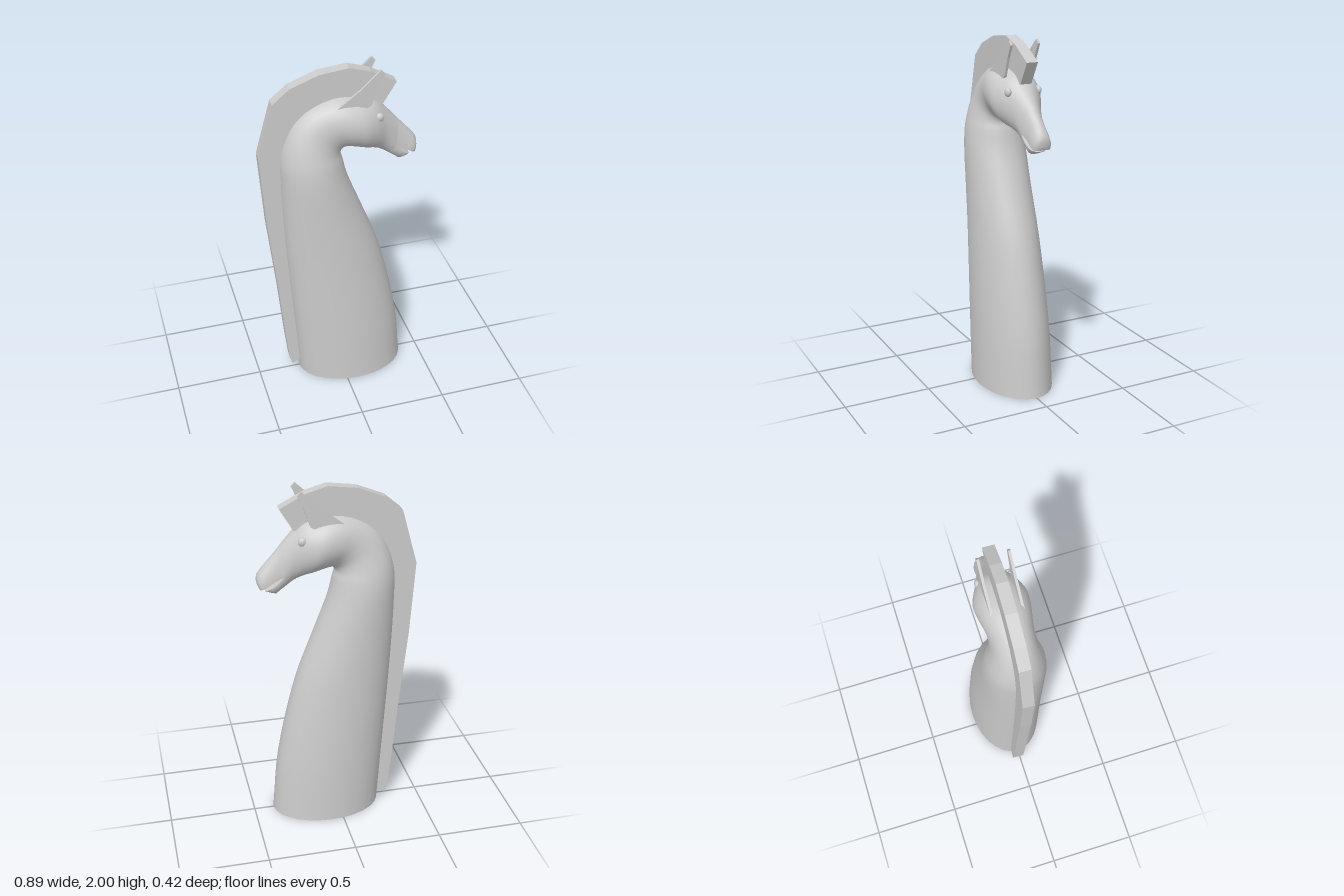
import * as THREE from 'three';

const SIDES = 28;
const grey = new THREE.MeshStandardMaterial({ color: 0xcccccc });
const greyOpen = new THREE.MeshStandardMaterial({ color: 0xcccccc, side: THREE.DoubleSide });

// Cross-section: [topX, topY, midX, midY, underX, underY, halfWidth]
const mid = (tx, ty, ux, uy, w) => [tx, ty, (tx + ux) / 2, (ty + uy) / 2, ux, uy, w];

// Skin a row of egg-shaped cross-sections; optionally close the last one
function loft(sections, cap) {
  const pos = [], idx = [];
  for (const [tx, ty, mx, my, ux, uy, w] of sections) {
    for (let j = 0; j < SIDES; j++) {
      const a = (j / SIDES) * Math.PI * 2, c = Math.cos(a), k = Math.abs(c);
      const ex = c > 0 ? tx : ux, ey = c > 0 ? ty : uy;
      pos.push(mx + (ex - mx) * k, my + (ey - my) * k, w * Math.sin(a));
    }
  }
  for (let i = 0; i < sections.length - 1; i++) {
    for (let j = 0; j < SIDES; j++) {
      const a = i * SIDES + j, b = i * SIDES + (j + 1) % SIDES;
      idx.push(a, b, a + SIDES, b, b + SIDES, a + SIDES);
    }
  }
  if (cap) {
    const [tx, ty, , , ux, uy] = sections.at(-1), start = (sections.length - 1) * SIDES;
    pos.push((tx + ux) / 2, (ty + uy) / 2, 0);
    for (let j = 0; j < SIDES; j++) idx.push(start + j, start + (j + 1) % SIDES, start + SIDES);
  }
  const geo = new THREE.BufferGeometry();
  geo.setAttribute('position', new THREE.Float32BufferAttribute(pos, 3));
  geo.setIndex(idx);
  geo.computeVertexNormals();
  return geo;
}

// Smooth a row of cross-sections with splines
function refine(sections, steps) {
  const curve = (a, b, c) => new THREE.CatmullRomCurve3(
    sections.map(s => new THREE.Vector3(s[a], s[b], c === undefined ? 0 : s[c])));
  const top = curve(0, 1, 6), middle = curve(2, 3), under = curve(4, 5);
  const n = (sections.length - 1) * steps, out = [];
  for (let i = 0; i <= n; i++) {
    const t = top.getPoint(i / n), m = middle.getPoint(i / n), u = under.getPoint(i / n);
    out.push([t.x, t.y, m.x, m.y, u.x, u.y, t.z]);
  }
  return out;
}

// Flat plate cut from an outline, centred on its own z = 0
function plate(points, depth) {
  const shape = new THREE.Shape(points.map(p => new THREE.Vector2(...p)));
  return new THREE.ExtrudeGeometry(shape, { depth, bevelEnabled: false }).translate(0, 0, -depth / 2);
}

export function createModel() {
  const model = new THREE.Group();
  const add = (name, geo, material = grey) => {
    const mesh = new THREE.Mesh(geo, material);
    mesh.name = name;
    model.add(mesh);
    return mesh;
  };

  // Hollow neck flowing into the head, up to the corner of the mouth
  const mouthCorner = [0.33, 1.652, 0.307, 1.512, 0.272, 1.455, 0.062];
  add('neckAndHead', loft(refine([
    mid(-0.25, 0, 0.385, 0, 0.21),
    mid(-0.275, 0.36, 0.35, 0.36, 0.203),
    mid(-0.31, 0.85, 0.238, 0.85, 0.185),
    mid(-0.325, 1.15, 0.125, 1.15, 0.176),
    mid(-0.33, 1.37, 0.045, 1.36, 0.17),
    mid(-0.33, 1.48, 0.018, 1.47, 0.158),
    mid(-0.305, 1.6, 0.008, 1.515, 0.138),
    mid(-0.25, 1.71, 0.02, 1.535, 0.122),
    mid(-0.16, 1.79, 0.045, 1.54, 0.122),
    mid(-0.03, 1.837, 0.085, 1.532, 0.14),
    mid(0.08, 1.832, 0.14, 1.517, 0.145),
    mid(0.18, 1.808, 0.19, 1.502, 0.118),
    mid(0.255, 1.738, 0.235, 1.48, 0.084),
    mouthCorner,
  ], 4), false), greyOpen);

  // Jaws: half sections with a flat face along the mouth
  const upper = (tx, ty, mx, my, w) => [tx, ty, mx, my, mx, my, w];
  const lower = (mx, my, ux, uy, w) => [mx, my, mx, my, ux, uy, w];
  add('upperJaw', loft([
    upper(0.33, 1.652, 0.307, 1.514, 0.062),
    upper(0.378, 1.598, 0.345, 1.492, 0.055),
    upper(0.418, 1.553, 0.385, 1.468, 0.057),
    upper(0.438, 1.523, 0.41, 1.453, 0.054),
    upper(0.442, 1.495, 0.425, 1.447, 0.042),
    upper(0.436, 1.465, 0.428, 1.447, 0.02),
  ], true), greyOpen);
  add('lowerJaw', loft([
    lower(0.304, 1.508, 0.272, 1.455, 0.062),
    lower(0.335, 1.476, 0.305, 1.432, 0.06),
    lower(0.365, 1.456, 0.335, 1.408, 0.057),
    lower(0.385, 1.443, 0.362, 1.417, 0.047),
    lower(0.397, 1.435, 0.388, 1.427, 0.028),
  ], true), greyOpen);

  // Mane: a thick crest, set very slightly askew
  const mane = add('mane', plate([
    [-0.295, 0.035], [-0.31, 0.08], [-0.33, 0.25], [-0.365, 0.64], [-0.415, 1.1],
    [-0.445, 1.53], [-0.36, 1.84], [-0.265, 1.92], [-0.11, 1.98], [0.05, 2.0],
    [0.17, 1.965], [0.31, 1.89], [0.235, 1.765], [0.1, 1.78], [-0.05, 1.79],
    [-0.2, 1.7], [-0.28, 1.52], [-0.29, 1.3], [-0.27, 0.85], [-0.24, 0.36], [-0.235, 0.075],
  ], 0.064));
  mane.rotation.y = -0.031;
  mane.position.z = -0.006;

  // Ears and eyes, mirrored
  for (const side of [1, -1]) {
    const name = side > 0 ? 'left' : 'right';
    const ear = add(name + 'Ear', plate([
      [-0.03, 1.8], [0.09, 1.89], [0.205, 1.996], [0.225, 1.973], [0.19, 1.9], [0.155, 1.8], [0.1, 1.76],
    ], 0.014));
    ear.position.z = side * 0.081;

    const eye = add(name + 'Eye', new THREE.SphereGeometry(0.025, 20, 14));
    eye.scale.z = 0.7;
    eye.position.set(0.2, 1.722, side * 0.09);
  }
  return model;
}
